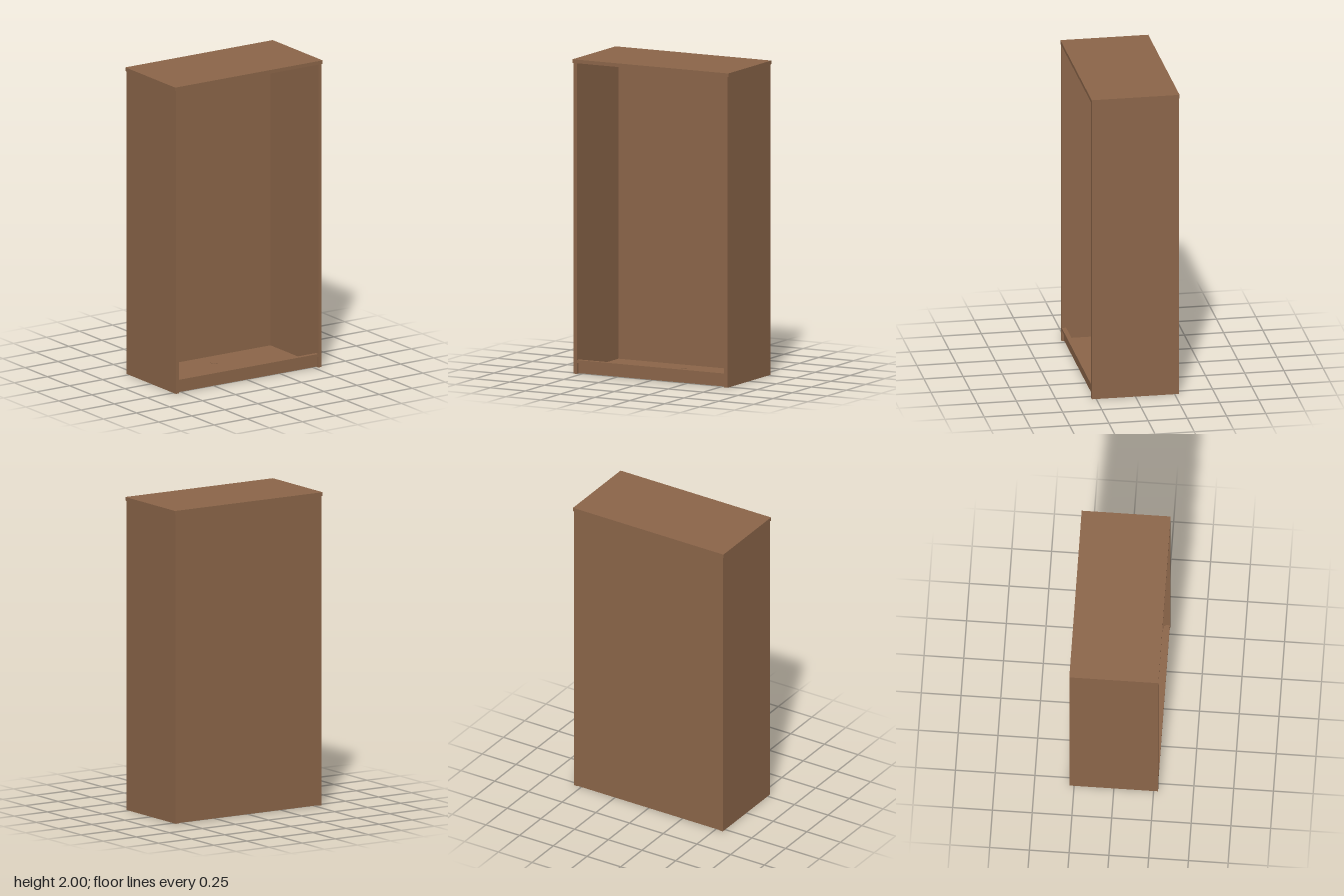
import * as THREE from 'three';

export function createModel() {
  const model = new THREE.Group();
  const wood = new THREE.MeshStandardMaterial({ color: 0x8b6549 });
  wood.name = 'brown wood';

  // Box panel given by its min and max corners
  function panel(name, [x0, y0, z0], [x1, y1, z1]) {
    const mesh = new THREE.Mesh(new THREE.BoxGeometry(x1 - x0, y1 - y0, z1 - z0), wood);
    mesh.position.set((x0 + x1) / 2, (y0 + y1) / 2, (z0 + z1) / 2);
    mesh.name = name;
    model.add(mesh);
  }

  // Carcass: sides, overhanging top, back and thin floor
  panel('leftSide', [0.527, 0, -0.278], [0.552, 1.977, 0.278]);
  panel('rightSide', [-0.552, 0, -0.278], [-0.527, 1.977, 0.278]);
  panel('top', [-0.558, 1.977, -0.28], [0.558, 2, 0.28]);
  panel('back', [-0.527, 0.003, -0.278], [0.527, 1.977, -0.26]);
  panel('floor', [-0.527, 0.003, -0.26], [0.527, 0.018, 0.258]);

  // Front lip: slightly recessed kick board under a rail
  panel('kickBoard', [-0.527, 0.003, 0.24], [0.527, 0.07, 0.262]);
  panel('frontRail', [-0.527, 0.07, 0.25], [0.527, 0.088, 0.277]);

  // Small plug through the floor
  const plug = new THREE.Mesh(new THREE.CylinderGeometry(0.022, 0.022, 0.021, 12), wood);
  plug.position.set(0.01, 0.0105, -0.125);
  plug.name = 'floorPlug';
  model.add(plug);

  return model;
}
